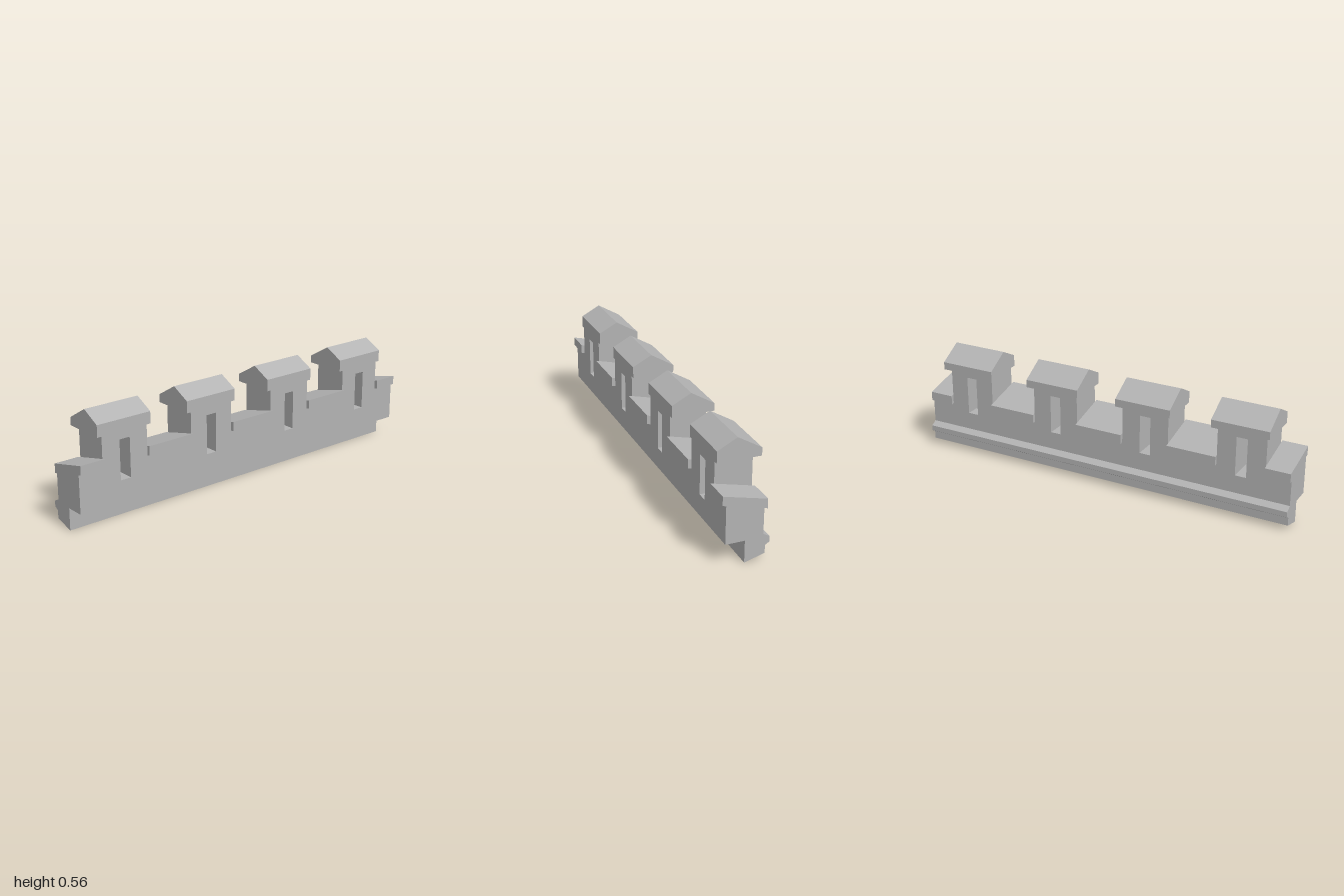
import * as THREE from 'three';

const stone = new THREE.MeshStandardMaterial({ color: 0xb3b3b3 });
stone.name = 'grey stone';

const MERLONS = [-0.75, -0.25, 0.25, 0.75]; // centres along z
const BODY = 0.123;  // half length of a merlon
const CAP = 0.145;   // half length of its roof
const BACK = -0.083, FACE = 0.098; // wall faces in x

const shapeOf = (points) => new THREE.Shape(points.map(([x, y]) => new THREE.Vector2(x, y)));

// Cross-section in x/y, run along z from z0 to z1
function runAlongZ(name, points, z0, z1) {
  const geometry = new THREE.ExtrudeGeometry(shapeOf(points), { depth: z1 - z0, bevelEnabled: false });
  geometry.translate(0, 0, z0);
  const mesh = new THREE.Mesh(geometry, stone);
  mesh.name = name;
  return mesh;
}

// Crenellated wall outline in z/y with arrow slits, extruded through the thickness
function crenellatedWall() {
  const bottom = 0.11, crenel = 0.2985, top = 0.45;
  const outline = [[-1, bottom], [1, bottom], [1, crenel]];
  for (const c of [...MERLONS].reverse()) {
    outline.push([c + BODY, crenel], [c + BODY, top], [c - BODY, top], [c - BODY, crenel]);
  }
  outline.push([-1, crenel]);
  const shape = shapeOf(outline);
  for (const c of MERLONS) {
    shape.holes.push(shapeOf([
      [c - 0.028, 0.215], [c - 0.028, 0.413], [c + 0.028, 0.413], [c + 0.028, 0.215],
    ]));
  }
  const geometry = new THREE.ExtrudeGeometry(shape, { depth: FACE - BACK, bevelEnabled: false });
  geometry.rotateY(Math.PI / 2).translate(BACK, 0, 0);
  const mesh = new THREE.Mesh(geometry, stone);
  mesh.name = 'crenellatedWall';
  return mesh;
}

export function createModel() {
  const model = new THREE.Group();
  model.name = 'battlement';

  // Footing with the projecting moulding on the back
  model.add(runAlongZ('footingAndMoulding', [
    [0.005, 0], [0.005, 0.11], [BACK, 0.11], [BACK, 0.125], [-0.114, 0.107],
    [-0.114, 0.08], [-0.093, 0.067], [-0.093, 0.027],
  ].reverse(), -1, 1));

  model.add(crenellatedWall());

  // Sloping sills between the merlons
  const sill = [[-0.099, 0.248], [0.115, 0.303], [0.115, 0.348], [-0.099, 0.295]];
  const edges = [-1, ...MERLONS.flatMap((c) => [c - BODY, c + BODY]), 1];
  for (let i = 0; i < edges.length; i += 2) {
    model.add(runAlongZ('slopingSill', sill, edges[i], edges[i + 1]));
  }

  // Gabled roofs, overhanging the ends and back of each merlon
  const roof = [[-0.116, 0.449], [FACE, 0.449], [FACE, 0.508], [0.002, 0.558], [-0.116, 0.488]];
  for (const c of MERLONS) model.add(runAlongZ('merlonRoof', roof, c - CAP, c + CAP));

  return model;
}
